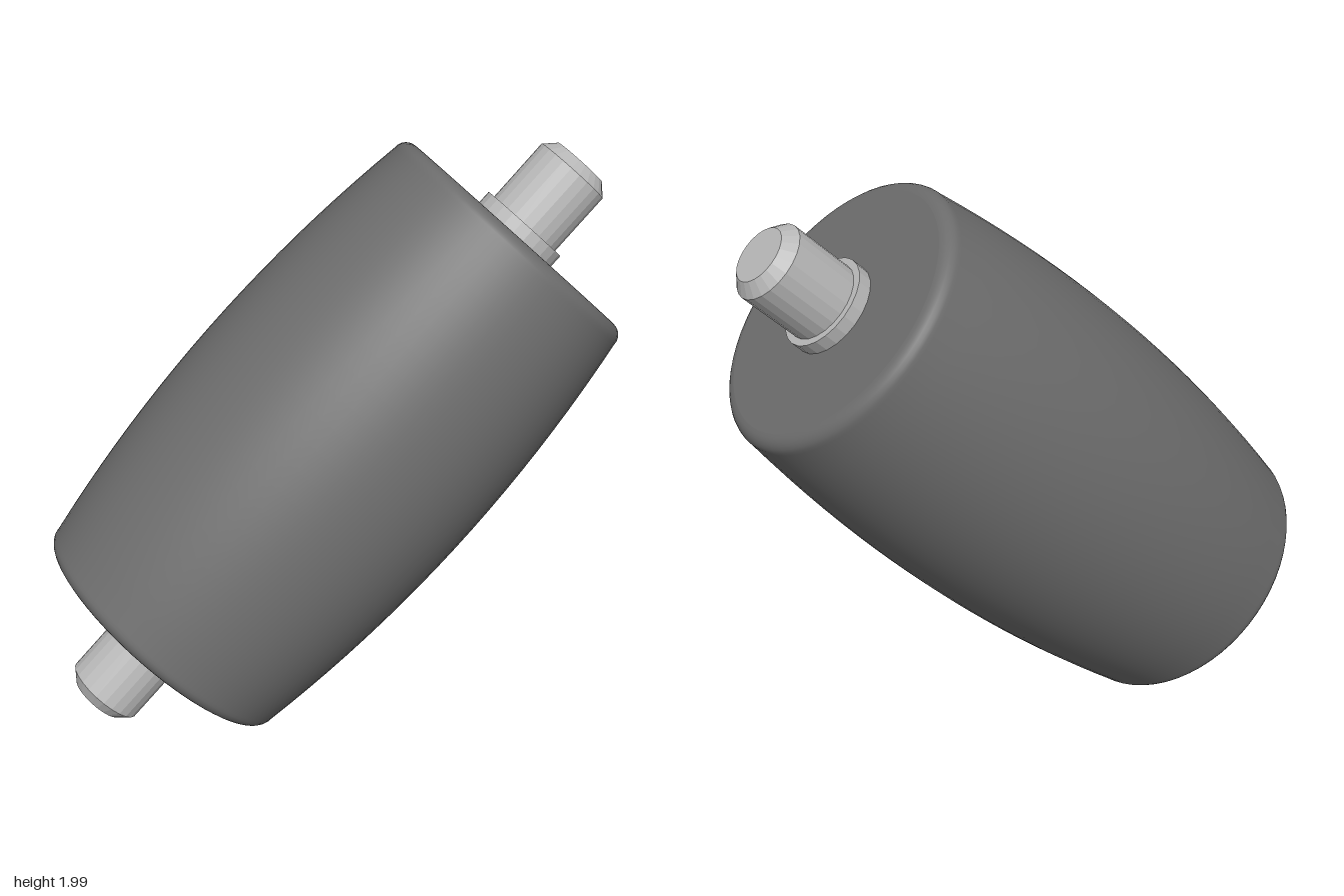
import * as THREE from 'three';

export function createModel() {
  const root = new THREE.Group();
  root.name = 'barrelRoller';

  const rubber = new THREE.MeshStandardMaterial({ color: 0x6c6c6c });
  rubber.name = 'dark grey';
  const steel = new THREE.MeshStandardMaterial({ color: 0xb8b8b8, flatShading: true });
  steel.name = 'light grey steel';

  // Everything is built along y, then the whole axis is tilted
  const roller = new THREE.Group();
  roller.name = 'roller';
  const axis = new THREE.Vector3(0.706, 0.698, -0.123).normalize();
  roller.quaternion.setFromUnitVectors(new THREE.Vector3(0, 1, 0), axis);
  roller.position.y = 1;
  root.add(roller);

  const add = (parent, geometry, material, name, y = 0) => {
    const mesh = new THREE.Mesh(geometry, material);
    mesh.name = name;
    mesh.position.y = y;
    parent.add(mesh);
  };

  // Barrel side: bulged wall with rounded rims
  const CAP = 0.935, ROUND = 0.05, FLAT = 0.455;
  const profile = [];
  const rim = (side, a) => new THREE.Vector2(
    FLAT + ROUND * Math.cos(a), side * (CAP - ROUND + ROUND * Math.sin(a)));
  for (let i = 0; i < 6; i++) profile.push(rim(-1, (1 - i / 6) * Math.PI / 2));
  for (let i = 0; i <= 20; i++) {
    const t = (i / 10 - 1) * (CAP - ROUND);
    profile.push(new THREE.Vector2(0.575 - 0.09 * t * t, t));
  }
  for (let i = 1; i <= 6; i++) profile.push(rim(1, (i / 6) * Math.PI / 2));
  add(roller, new THREE.LatheGeometry(profile, 64), rubber, 'barrel');

  // Each end: flat cap, collar and chamfered pin
  for (const side of [1, -1]) {
    const end = new THREE.Group();
    end.name = side > 0 ? 'upperEnd' : 'lowerEnd';
    if (side < 0) end.rotation.x = Math.PI;
    roller.add(end);

    const cap = new THREE.CircleGeometry(FLAT, 64).rotateX(-Math.PI / 2);
    add(end, cap, rubber, 'endCap', CAP);
    add(end, new THREE.CylinderGeometry(0.165, 0.165, 0.07, 24), steel, 'collar', 0.95);

    const pin = [[0.14, 0.92], [0.14, 1.225], [0.1, 1.265], [0, 1.265]]
      .map(([r, y]) => new THREE.Vector2(r, y));
    add(end, new THREE.LatheGeometry(pin, 24), steel, 'axlePin');
  }
  return root;
}
